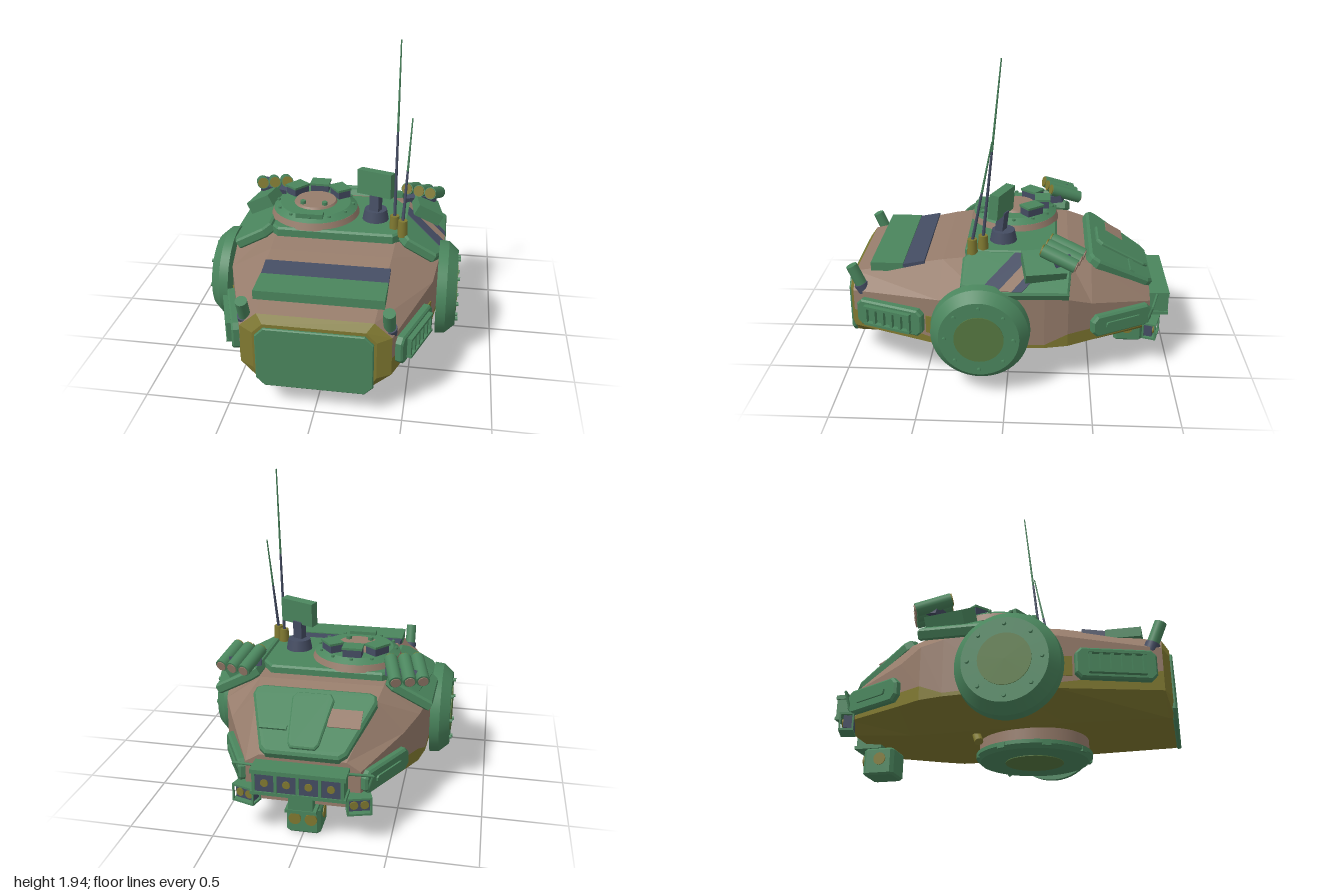
import * as THREE from 'three';

const mat = (name, hex) => {
  const m = new THREE.MeshStandardMaterial({ color: hex });
  m.name = name;
  return m;
};
const green = mat('green', 0x4a855d), brown = mat('brown', 0x967c6b), olive = mat('olive', 0x7f7830);
const blue = mat('slate blue', 0x444c62), moss = mat('moss', 0x567840);

const V = (x, y, z) => new THREE.Vector3(x, y, z);

function add(parent, name, geo, material, pos = [0, 0, 0], rot = [0, 0, 0]) {
  const m = new THREE.Mesh(geo, material);
  m.name = name;
  m.position.set(...pos);
  m.rotation.set(...rot);
  parent.add(m);
  return m;
}
function sub(parent, name, pos, rot = [0, 0, 0]) {
  const g = new THREE.Group();
  g.name = name;
  g.position.set(...pos);
  g.rotation.set(...rot);
  parent.add(g);
  return g;
}
const box = (w, h, d) => new THREE.BoxGeometry(w, h, d);
const cyl = (r0, r1, h, n = 32) => new THREE.CylinderGeometry(r0, r1, h, n);

// Round bar between two points
function rod(parent, name, a, b, ra, rb, material, n = 14) {
  const p = V(...a), q = V(...b);
  const m = add(parent, name, cyl(rb, ra, p.distanceTo(q), n), material);
  m.position.copy(p).lerp(q, 0.5);
  m.quaternion.setFromUnitVectors(V(0, 1, 0), q.sub(p).normalize());
}
// Flat polygon in x/z raised along y, with an optional bevel
function slab(pts, h, bevel = 0) {
  const s = new THREE.Shape(pts.map(([x, z]) => new THREE.Vector2(x, -z)));
  return new THREE.ExtrudeGeometry(s, {
    depth: h - bevel, bevelEnabled: bevel > 0, bevelSize: bevel, bevelThickness: bevel, bevelOffset: -bevel, bevelSegments: 1,
  }).rotateX(-Math.PI / 2);
}
// Rectangle with cut corners
const cut = (w, d, c) => [[w - c, -d], [w, c - d], [w, d - c], [w - c, d], [c - w, d], [-w, d - c], [-w, c - d], [c - w, -d]];

// Faceted hull: z, roof edge x y, shoulder x y, paint line height, side height, belly x y
function buildHull(g) {
  const rings = [
    [0.985, 0.29, 0.54, 0.35, 0.48, 0.36, 0.25, 0.29, 0.15],
    [0.95, 0.33, 0.585, 0.43, 0.50, 0.37, 0.26, 0.30, 0.15],
    [0.40, 0.37, 0.695, 0.62, 0.55, 0.28, 0.25, 0.33, 0.15],
    [0.15, 0.38, 0.73, 0.65, 0.60, 0.28, 0.25, 0.34, 0.14],
    [-0.22, 0.38, 0.725, 0.63, 0.58, 0.27, 0.25, 0.335, 0.14],
    [-0.36, 0.38, 0.72, 0.60, 0.56, 0.33, 0.25, 0.33, 0.14],
    [-0.50, 0.36, 0.68, 0.525, 0.50, 0.33, 0.25, 0.30, 0.15],
    [-0.87, 0.25, 0.47, 0.33, 0.42, 0.27, 0.255, 0.25, 0.19],
  ].map(([z, xr, yr, xs, ys, yp, yl, xb, yb]) => {
    const right = [V(xr, yr, z), V(xs, ys, z), V(xs, yp, z), V(xs, yl, z), V(xb, yb, z)];
    return [...right, ...right.map(v => V(-v.x, v.y, z)).reverse()];
  });
  const upper = [], lower = [];
  for (let i = 0; i < rings.length - 1; i++) {
    for (let k = 0; k < 10; k++) {
      const n = (k + 1) % 10, a = rings[i], b = rings[i + 1];
      const list = i === 0 || (k > 1 && k < 7) ? lower : upper;
      list.push(a[k], a[n], b[n], a[k], b[n], b[k]);
    }
  }
  const f = rings[0], r = rings[rings.length - 1];
  for (let k = 1; k < 9; k++) {
    lower.push(f[0], f[k + 1], f[k]);
    upper.push(r[0], r[k], r[k + 1]);
  }
  for (const [name, pts, m] of [['hullUpper', upper, brown], ['hullLower', lower, olive]]) {
    const geo = new THREE.BufferGeometry().setFromPoints(pts);
    geo.computeVertexNormals();
    add(g, name, geo, m);
  }
}

// Parts that appear on both sides; s is +1 or -1
function buildSide(g, s) {
  const label = s > 0 ? 'left' : 'right';
  const S = pts => pts.map(([x, z]) => [s * x, z]);

  // Large side drum with bolts
  const drum = sub(g, label + 'Drum', [s * 0.64, 0.38, 0.155], [0, 0, -s * Math.PI / 2]);
  add(drum, 'drumRim', cyl(0.288, 0.295, 0.06, 48), green, [0, 0.035, 0]);
  add(drum, 'drumBevel', cyl(0.235, 0.288, 0.06, 48), green, [0, 0.095, 0]);
  add(drum, 'drumCentre', cyl(0.145, 0.145, 0.006, 32), moss, [0, 0.127, 0]);
  for (let i = 0; i < 8; i++) {
    const a = i * Math.PI / 4;
    add(drum, 'bolt', cyl(0.012, 0.012, 0.02, 8), green, [0.2 * Math.cos(a), 0.132, 0.2 * Math.sin(a)]);
  }

  // Shoulder pad; only the left one carries camouflage bands
  const pad = sub(g, label + 'ShoulderPad', [s * 0.52, 0.66, -0.05], [0, 0, -s * 0.5]);
  add(pad, 'padPlate', slab(S([[-0.15, -0.3], [-0.1, -0.33], [0.15, -0.31], [0.16, 0.2], [0.1, 0.32], [-0.1, 0.32], [-0.15, 0.27]]), 0.055, 0.012), green);
  if (s > 0) {
    const band = (name, z, w, m) => add(pad, name, slab([[-0.135, z], [-0.135, z + w], [0.14, z + w + 0.2], [0.14, z + 0.2]], 0.006), m, [0, 0.054, 0]);
    band('blueBand', -0.1, 0.11, blue);
    band('brownBand', -0.18, 0.08, brown);
    band('upperBlueBand', -0.24, 0.06, blue);
  }

  // Triple launcher
  add(g, label + 'LauncherBox', box(0.18, 0.11, 0.24), green, [s * 0.53, 0.735, -0.21], [0, s * 0.2, -s * 0.5]);
  add(g, label + 'LauncherBracket', box(0.2, 0.05, 0.1), blue, [s * 0.49, 0.795, -0.3], [0.25, s * 0.25, 0]);
  [[0.405, 0], [0.485, 0.025], [0.56, 0.05]].forEach(([x, dz]) => {
    const a = [s * x, 0.858, -0.255 + dz], b = [s * (x + 0.055), 0.787, -0.445 + dz];
    rod(g, label + 'LauncherTube', a, b, 0.04, 0.04, green, 18);
    rod(g, label + 'TubeFront', a, [a[0] - s * 0.002, a[1] + 0.002, a[2] + 0.007], 0.035, 0.035, olive, 18);
    rod(g, label + 'TubeBack', b, [b[0] + s * 0.002, b[1] - 0.002, b[2] - 0.007], 0.03, 0.03, brown, 18);
  });

  // Front side vent with bars
  const side = geo => geo.rotateZ(-s * Math.PI / 2);
  const vent = sub(g, label + 'Vent', [s * 0.51, 0.385, 0.7], [0, -s * 0.335, 0]);
  add(vent, 'ventPlate', side(slab(cut(0.085, 0.22, 0.03), 0.05, 0.01)), green);
  for (const y of [-0.055, 0.055]) add(vent, 'ventRail', box(0.03, 0.016, 0.31), green, [s * 0.064, y, 0]);
  for (let i = 0; i < 6; i++) add(vent, 'ventBar', box(0.025, 0.11, 0.016), green, [s * 0.062, 0, -0.145 + i * 0.058]);
  add(g, label + 'OlivePatch', box(0.008, 0.11, 0.06), olive, [s * 0.604, 0.375, 0.455], [0, -s * 0.335, 0]);

  // Rear side plate with slot
  const rear = sub(g, label + 'RearPlate', [s * 0.42, 0.35, -0.675], [0, s * 0.485, 0]);
  add(rear, 'rearPlatePanel', side(slab(cut(0.07, 0.21, 0.035), 0.05, 0.012)), green);
  add(rear, 'rearSlot', side(slab(cut(0.02, 0.12, 0.01), 0.012)), green, [s * 0.049, 0, 0]);

  // Front corner post
  rod(g, label + 'PostBase', [s * 0.41, 0.49, 0.885], [s * 0.41, 0.54, 0.905], 0.042, 0.042, blue);
  rod(g, label + 'Post', [s * 0.41, 0.53, 0.90], [s * 0.41, 0.66, 0.955], 0.035, 0.035, green);

  // Rear light box in its cage, turned slightly outward
  const lamp = sub(g, label + 'RearLight', [s * 0.32, 0.235, -0.875], [0, -s * 0.3, 0]);
  add(lamp, 'lightBox', box(0.12, 0.075, 0.06), blue);
  for (const x of [-0.03, 0.03]) add(lamp, 'lightLens', cyl(0.024, 0.024, 0.012, 16), olive, [x, 0, -0.032], [Math.PI / 2, 0, 0]);
  for (const y of [-0.048, 0.048]) add(lamp, 'cageShelf', box(0.14, 0.012, 0.085), green, [0, y, -0.012]);
  for (const x of [-0.065, 0.065]) for (const z of [-0.049, 0.025]) add(lamp, 'cagePost', box(0.01, 0.096, 0.01), green, [x, 0, z]);
  rod(g, label + 'GuardRail', [s * 0.27, 0.43, -0.92], [s * 0.40, 0.41, -0.88], 0.008, 0.008, green, 8);
  rod(g, label + 'GuardLeg', [s * 0.40, 0.41, -0.88], [s * 0.36, 0.27, -0.85], 0.008, 0.008, green, 8);
}

function buildRoof(g) {
  add(g, 'roofPlate', slab([[-0.36, -0.29], [0.33, -0.29], [0.4, -0.2], [0.4, 0.22], [0.36, 0.265], [-0.36, 0.265], [-0.4, 0.22], [-0.4, -0.25]], 0.06, 0.012), green, [0, 0.712, 0]);
  add(g, 'frontRoofPanel', box(0.75, 0.055, 0.2), green, [0, 0.637, 0.745]);
  add(g, 'frontRoofStripe', box(0.75, 0.03, 0.142), blue, [0, 0.655, 0.582], [0.19, 0, 0]);

  // Round hatch with periscopes
  const c = sub(g, 'cupola', [-0.165, 0.765, -0.015]);
  add(c, 'cupolaBase', cyl(0.27, 0.285, 0.045, 48), brown, [0, 0.022, 0]);
  add(c, 'cupolaRing', cyl(0.225, 0.27, 0.03, 48), green, [0, 0.06, 0]);
  add(c, 'cupolaLid', cyl(0.13, 0.14, 0.015, 32), brown, [0, 0.08, 0]);
  for (let i = 0; i < 12; i++) {
    const a = i * Math.PI / 6;
    add(c, 'cupolaBolt', cyl(0.011, 0.011, 0.012, 8), green, [0.243 * Math.cos(a), 0.072, 0.243 * Math.sin(a)]);
  }
  for (const a of [-0.9, 0, 0.9]) {
    const p = sub(c, 'periscope', [0.18 * Math.sin(a), 0.1, -0.18 * Math.cos(a)], [0, -a, 0]);
    add(p, 'periscopeBody', box(0.115, 0.05, 0.085), blue);
    add(p, 'periscopeCap', box(0.125, 0.014, 0.1), green, [0, 0.03, 0]);
  }
  add(c, 'hatchHinge', box(0.17, 0.03, 0.05), green, [0, 0.08, 0.22]);
  for (const x of [-0.07, 0.07]) add(c, 'hatchKnob', cyl(0.018, 0.018, 0.025, 12), green, [x, 0.095, 0.075]);

  // Sight on a pedestal
  add(g, 'sightPedestal', cyl(0.07, 0.085, 0.075, 24), blue, [0.23, 0.802, 0.04]);
  add(g, 'sightPost', box(0.065, 0.14, 0.05), blue, [0.23, 0.89, 0.05], [-0.12, -0.4, 0]);
  add(g, 'sightHead', box(0.235, 0.155, 0.06), green, [0.23, 1.02, 0.05], [-0.08, -0.38, 0]);

  // Whip antennas
  for (const [a, b] of [[[0.36, 0.84, 0.155], [0.36, 1.925, 0.04]], [[0.415, 0.84, 0.215], [0.445, 1.47, 0.09]]]) {
    rod(g, 'antennaBase', [a[0], 0.75, a[2]], [a[0], 0.855, a[2]], 0.033, 0.028, olive, 16);
    const mid = a.map((v, i) => v + (b[i] - v) * 0.5);
    rod(g, 'antennaLower', a, mid, 0.01, 0.007, blue, 8);
    rod(g, 'antennaUpper', mid, b, 0.007, 0.004, green, 8);
  }
}

function buildRear(g) {
  // Sloped rear deck cover
  const d = sub(g, 'rearDeck', [0, 0.57, -0.675], [-0.52, 0, 0]);
  add(d, 'deckPlate', slab([[-0.21, -0.225], [0.21, -0.225], [0.25, -0.19], [0.37, 0.17], [0.36, 0.22], [0.32, 0.24], [-0.32, 0.24], [-0.36, 0.22], [-0.37, 0.17], [-0.25, -0.19]], 0.055, 0.015), green);
  add(d, 'deckHatch', slab([[-0.07, -0.19], [0.07, -0.19], [0.09, -0.16], [0.125, 0.15], [0.1, 0.19], [-0.1, 0.19], [-0.125, 0.15], [-0.09, -0.16]], 0.025, 0.008), green, [0, 0.05, 0]);
  add(d, 'deckBrownPatch', box(0.19, 0.006, 0.125), brown, [-0.205, 0.057, 0.035]);
  add(d, 'deckHandle', box(0.16, 0.014, 0.03), green, [0.195, 0.06, -0.06]);

  // Rear light bar
  const b = sub(g, 'lightBar', [0, 0.365, -0.935]);
  add(b, 'barBody', box(0.5, 0.12, 0.11), blue);
  add(b, 'barTop', box(0.54, 0.025, 0.125), green, [0, 0.065, 0]);
  add(b, 'barBottom', box(0.54, 0.02, 0.125), green, [0, -0.065, 0]);
  for (let i = 0; i < 5; i++) add(b, 'barRib', box(0.018, 0.12, 0.12), green, [-0.25 + i * 0.125, 0, 0]);
  for (let i = 0; i < 4; i++) add(b, 'barLens', cyl(0.022, 0.022, 0.01, 16), olive, [-0.1875 + i * 0.125, 0, -0.057], [Math.PI / 2, 0, 0]);

  // Hanging lamp unit
  add(g, 'lampBracket', box(0.14, 0.14, 0.14), green, [0, 0.24, -0.86]);
  add(g, 'lampPlate', box(0.18, 0.02, 0.17), green, [0, 0.165, -0.85]);
  add(g, 'lampBody', slab(cut(0.1, 0.095, 0.02), 0.15, 0.012), green, [0, 0.002, -0.775]);
  for (const x of [-0.047, 0.047]) add(g, 'lampLens', cyl(0.036, 0.036, 0.016, 20), olive, [x, 0.085, -0.871], [Math.PI / 2, 0, 0]);
  for (const x of [-0.1, 0.1]) add(g, 'lampSideLens', cyl(0.037, 0.037, 0.012, 20), olive, [x, 0.085, -0.765], [0, 0, Math.PI / 2]);
}

function buildBase(g) {
  const b = sub(g, 'turntable', [0, 0, 0.16]);
  add(b, 'turntableNeck', cyl(0.32, 0.32, 0.1, 48), brown, [0, 0.105, 0]);
  add(b, 'turntableFlange', cyl(0.34, 0.34, 0.022, 48), green, [0, 0.062, 0]);
  add(b, 'turntableFoot', cyl(0.335, 0.315, 0.022, 48), green, [0, 0.04, 0]);
  add(b, 'turntableCentre', cyl(0.17, 0.17, 0.006, 32), moss, [0, 0.028, 0]);
  for (let i = 0; i < 8; i++) {
    const a = (i + 0.5) * Math.PI / 4;
    add(b, 'flangeClip', box(0.03, 0.03, 0.05), green, [0.325 * Math.cos(a), 0.055, 0.325 * Math.sin(a)], [0, -a, 0]);
  }
  rod(g, 'lowerNozzle', [0.27, 0.12, -0.085], [0.29, 0.05, -0.03], 0.03, 0.035, green);
  rod(g, 'lowerNozzleTip', [0.255, 0.16, -0.12], [0.272, 0.11, -0.08], 0.037, 0.037, olive);
  rod(g, 'lowerPeg', [-0.25, 0.16, -0.13], [-0.29, 0.09, -0.1], 0.025, 0.025, olive);
}

export function createModel() {
  const g = new THREE.Group();
  g.name = 'turret';
  buildHull(g);
  for (const s of [1, -1]) buildSide(g, s);
  buildRoof(g);
  buildRear(g);
  buildBase(g);
  // Front plate
  add(g, 'frontPlate', slab(cut(0.335, 0.19, 0.05), 0.02, 0.006).rotateX(Math.PI / 2), green, [0, 0.33, 0.98]);
  return g;
}
